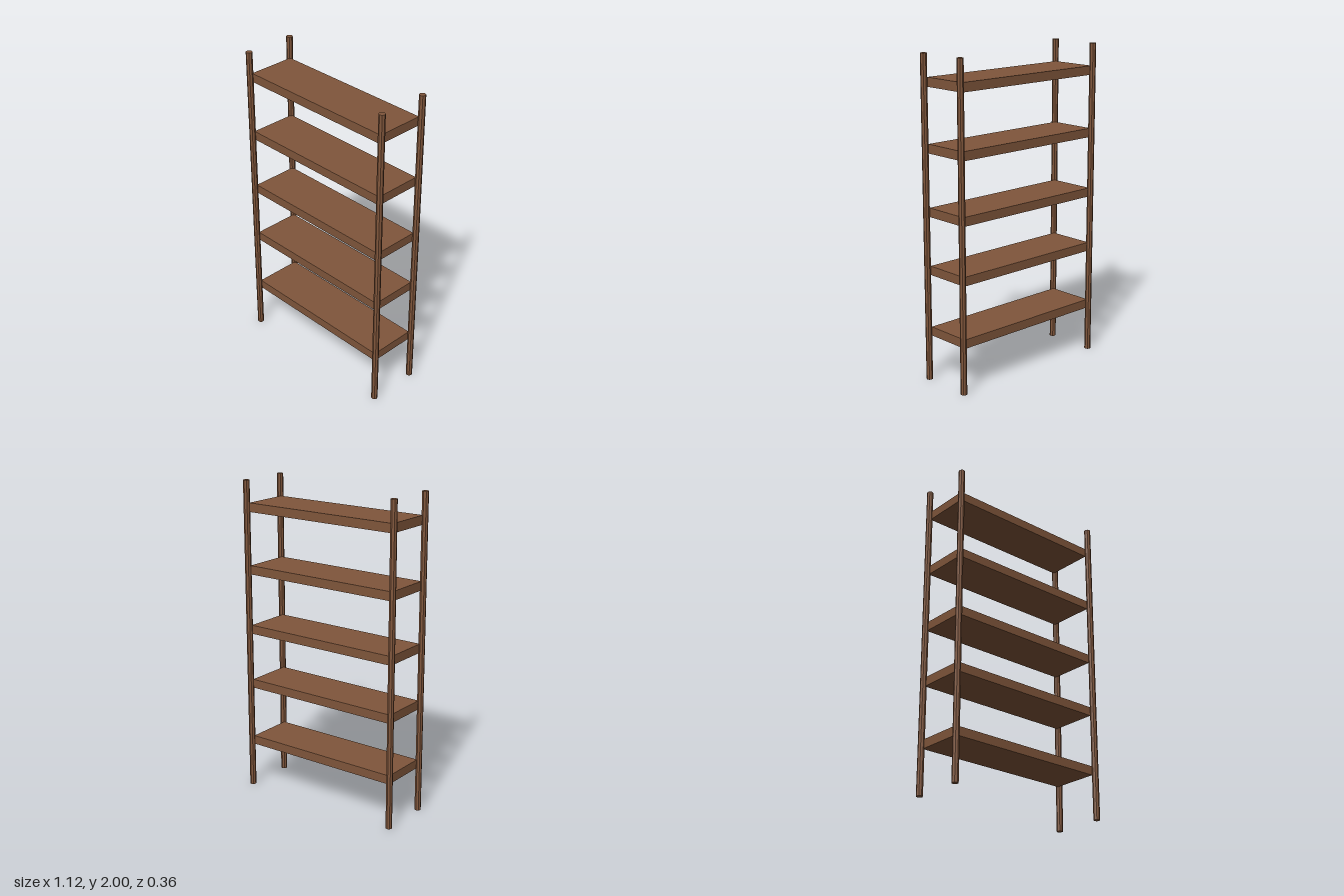
import * as THREE from 'three';

export function createModel() {
  const group = new THREE.Group();
  const wood = new THREE.MeshStandardMaterial({ color: 0x80563b });
  wood.name = 'brown wood';
  wood.flatShading = true;

  // Four slim faceted posts, one at each corner
  const postGeometry = new THREE.CylinderGeometry(0.02, 0.02, 2, 8);
  for (const [side, x] of [['Left', 0.538], ['Right', -0.538]]) {
    for (const [end, z] of [['front', 0.16], ['back', -0.16]]) {
      const post = new THREE.Mesh(postGeometry, wood);
      post.name = `${end}${side}Post`;
      post.position.set(x, 1, z);
      group.add(post);
    }
  }

  // Five boards, whose corners meet the posts
  const shelfGeometry = new THREE.BoxGeometry(1.054, 0.056, 0.305);
  [0.31, 0.697, 1.057, 1.441, 1.832].forEach((y, i) => {
    const shelf = new THREE.Mesh(shelfGeometry, wood);
    shelf.name = `shelf${i + 1}`;
    shelf.position.set(-0.004, y, -0.003);
    group.add(shelf);
  });

  return group;
}
